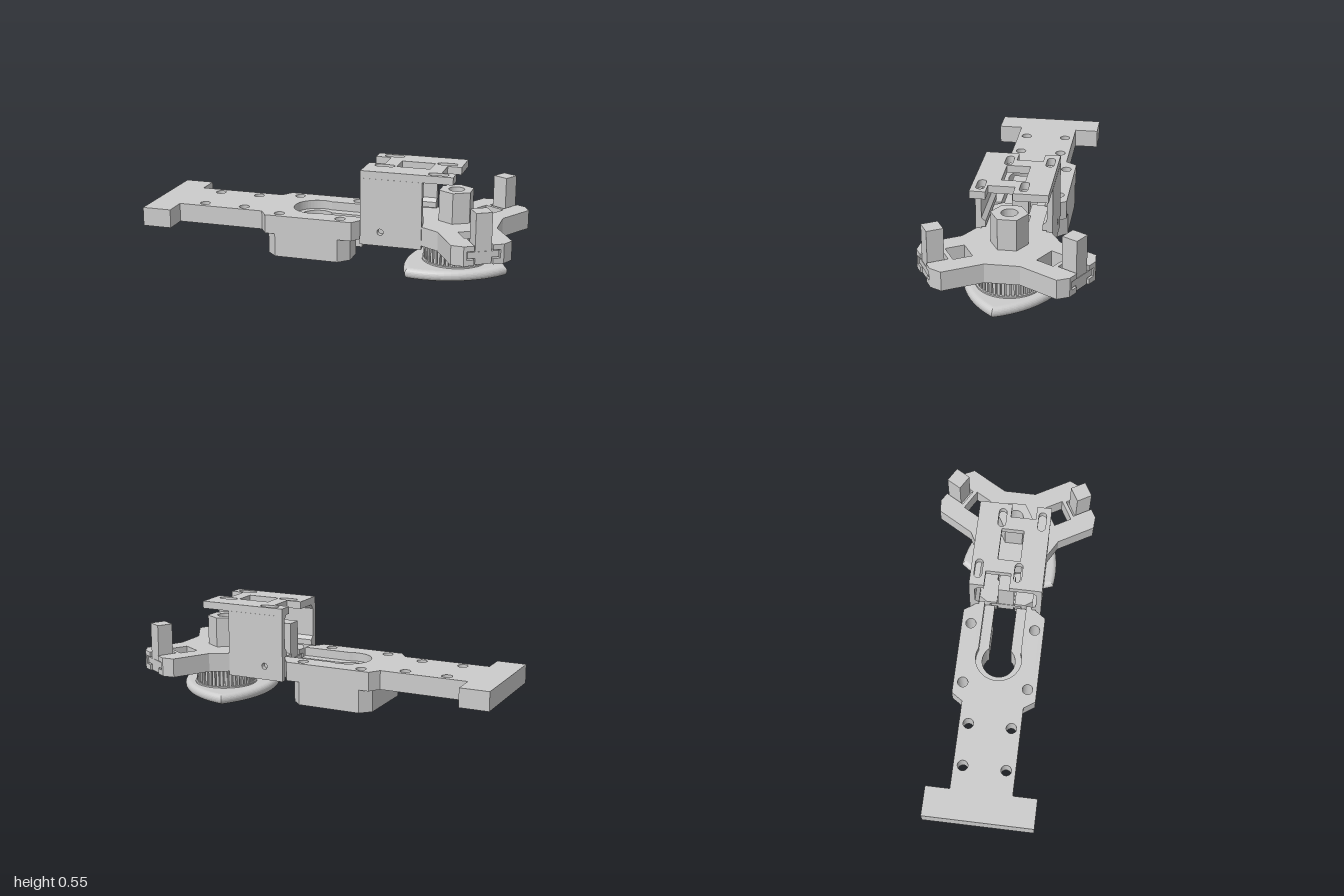
import * as THREE from 'three';

const HUB = 0.67; // x of the three-armed head
const material = new THREE.MeshStandardMaterial({ color: 0xcccccc, flatShading: true });
const smooth = new THREE.MeshStandardMaterial({ color: 0xcccccc });

const polygon = (pts) => new THREE.Shape(pts.map(([x, z]) => new THREE.Vector2(x, z)));

function addHole(shape, x, z, r) {
  shape.holes.push(new THREE.Path().absarc(x, z, r, 0, Math.PI * 2, true));
}

// Horizontal slab: shape drawn in (x, z), filling y0..y1
function slab(name, shape, y0, y1, options = {}) {
  const geo = new THREE.ExtrudeGeometry(shape, { depth: y1 - y0, bevelEnabled: false, curveSegments: 20, ...options });
  geo.rotateX(Math.PI / 2).translate(0, y1, 0);
  const mesh = new THREE.Mesh(geo, material);
  mesh.name = name;
  return mesh;
}

function box(name, x0, x1, y0, y1, z0, z1) {
  const mesh = new THREE.Mesh(new THREE.BoxGeometry(x1 - x0, y1 - y0, z1 - z0), material);
  mesh.position.set((x0 + x1) / 2, (y0 + y1) / 2, (z0 + z1) / 2);
  mesh.name = name;
  return mesh;
}

// Half outline (z > 0, from +x end to -x end) mirrored, with a keyhole open to +x
function keyholeShape(half, slot, radius) {
  const end = half[0][0], a = Math.asin(slot / radius), pts = [[end, slot], ...half];
  [...half].reverse().forEach(([x, z]) => pts.push([x, -z]));
  pts.push([end, -slot]);
  for (let i = 0; i <= 28; i++) {
    const t = Math.PI * 2 - a - (i / 28) * (Math.PI * 2 - 2 * a);
    pts.push([-0.1 + Math.cos(t) * radius, Math.sin(t) * radius]);
  }
  return polygon(pts);
}

// Long base plate with stepped keyhole and a block beneath
function createBase() {
  const g = new THREE.Group();
  g.name = 'base';
  const half = [[0.22, 0.165], [0.2, 0.165], [0.16, 0.225], [-0.32, 0.225], [-0.36, 0.165],
    [-0.84, 0.165], [-0.84, 0.295], [-1, 0.295]];
  const screws = [[-0.71, 0.115], [-0.48, 0.115], [-0.255, 0.175], [0.085, 0.175]];
  const layer = (name, outline, slot, r, y0, y1, holes) => {
    const shape = keyholeShape(outline, slot, r);
    for (const [x, z] of holes) for (const s of [-1, 1]) addHole(shape, x, z * s, 0.028);
    g.add(slab(name, shape, y0, y1));
  };
  layer('plateTop', half, 0.115, 0.125, 0.225, 0.272, screws);
  layer('plateBottom', half, 0.06, 0.09, 0.17, 0.225, screws);
  layer('lowerBlock', [[0.14, 0.17], [0.085, 0.225], [-0.265, 0.225], [-0.32, 0.17]],
    0.06, 0.09, 0.045, 0.17, screws.slice(2));
  return g;
}

// Three equal arms in one slab; slot is the half width of the channel at each tip
const ARM_ANGLES = [60, 180, 300].map(THREE.MathUtils.degToRad);

function headShape(slot) {
  const at = (a, r, p) => [HUB + r * Math.cos(a) - p * Math.sin(a), r * Math.sin(a) + p * Math.cos(a)];
  const arm = [[0.193, -0.16], [0.41, -0.16], [0.447, -0.105], [0.447, -slot], [0.335, -slot],
    [0.335, slot], [0.447, slot], [0.447, 0.105], [0.41, 0.16], [0.193, 0.16]];
  const shape = polygon(ARM_ANGLES.flatMap((a) => arm.map(([r, p]) => at(a, r, p))));
  const window = [[0.215, -0.06], [0.215, 0.06], [0.315, 0.06], [0.315, -0.06]];
  for (const a of ARM_ANGLES) shape.holes.push(polygon(window.map(([r, p]) => at(a, r, p))));
  addHole(shape, HUB, 0, 0.04);
  return shape;
}

function createHead() {
  const g = new THREE.Group();
  g.name = 'threeArmHead';
  g.add(slab('headBottom', headShape(0.049), 0.17, 0.2));
  g.add(slab('headMiddle', headShape(0.088), 0.2, 0.245));
  g.add(slab('headTop', headShape(0.049), 0.245, 0.272));

  // Hexagonal centre pillar
  const hex = polygon(Array.from({ length: 6 }, (_, i) => {
    const a = Math.PI / 2 + (i * Math.PI) / 3;
    return [HUB + 0.095 * Math.cos(a), 0.095 * Math.sin(a)];
  }));
  addHole(hex, HUB, 0, 0.042);
  g.add(slab('centrePillar', hex, 0.27, 0.437));

  // Sliding posts keyed into the arm tips
  for (const a of ARM_ANGLES) {
    const jaw = new THREE.Group();
    jaw.name = 'slidingPost';
    jaw.position.x = HUB;
    jaw.rotation.y = -a;
    jaw.add(box('post', 0.353, 0.439, 0.172, 0.437, -0.043, 0.043));
    jaw.add(box('postKey', 0.345, 0.441, 0.206, 0.239, -0.082, 0.082));
    g.add(jaw);
  }
  return g;
}

// Inverted U bracket over the rear arm
function createBracket() {
  const g = new THREE.Group();
  g.name = 'bracket';
  const top = polygon([[0.2, -0.195], [0.69, -0.195], [0.69, -0.02], [0.615, -0.02], [0.615, 0.115],
    [0.69, 0.115], [0.69, 0.195], [0.2, 0.195], [0.2, 0.02], [0.285, 0.02], [0.285, -0.115], [0.2, -0.115]]);
  top.holes.push(polygon([[0.36, -0.06], [0.36, 0.06], [0.54, 0.06], [0.54, -0.06]]));
  for (const [x, z] of [[0.295, -0.155], [0.295, 0.057], [0.605, -0.065], [0.605, 0.15]]) {
    const slot = new THREE.Path();
    slot.absarc(x - 0.033, z, 0.021, Math.PI / 2, Math.PI * 1.5, false);
    slot.absarc(x + 0.033, z, 0.021, -Math.PI / 2, Math.PI / 2, false);
    slot.closePath();
    top.holes.push(slot);
  }
  g.add(slab('bracketTop', top, 0.51, 0.55));

  for (const s of [-1, 1]) {
    // Side wall with a pin hole
    const wall = polygon([[0.2, 0.15], [0.53, 0.15], [0.53, 0.51], [0.2, 0.51]]);
    addHole(wall, 0.31, 0.225, 0.017);
    const geo = new THREE.ExtrudeGeometry(wall, { depth: 0.03, bevelEnabled: false });
    geo.translate(0, 0, s > 0 ? 0.166 : -0.196);
    const mesh = new THREE.Mesh(geo, material);
    mesh.name = 'bracketWall';
    g.add(mesh);
    // Chamfered strips along the inside of the wall
    for (const profile of [[[0.166, 0.485], [0.166, 0.51], [0.145, 0.51]],
      [[0.166, 0.28], [0.166, 0.33], [0.145, 0.31], [0.145, 0.28]]]) {
      const strip = new THREE.ExtrudeGeometry(polygon(profile.map(([z, y]) => [-z * s, y])),
        { depth: 0.33, bevelEnabled: false });
      strip.rotateY(Math.PI / 2).translate(0.2, 0, 0);
      const rib = new THREE.Mesh(strip, material);
      rib.name = 'innerRib';
      g.add(rib);
    }
  }
  return g;
}

// Toothed pulley on a rounded three-lobed knob
function createKnob() {
  const g = new THREE.Group();
  g.name = 'knob';
  const teeth = 44, pts = [];
  for (let i = 0; i < teeth; i++) {
    [[0, 0.166], [0.6, 0.166], [0.65, 0.153], [0.95, 0.153]].forEach(([f, r]) => {
      const a = ((i + f) / teeth) * Math.PI * 2;
      pts.push([HUB + r * Math.cos(a), r * Math.sin(a)]);
    });
  }
  const gear = polygon(pts);
  addHole(gear, HUB, 0, 0.04);
  g.add(slab('pulleyTeeth', gear, 0.064, 0.155));
  for (const [y0, y1] of [[0.05, 0.064], [0.155, 0.17]]) {
    const flange = new THREE.Shape().absarc(HUB, 0, 0.175, 0, Math.PI * 2, false);
    addHole(flange, HUB, 0, 0.04);
    g.add(slab('pulleyFlange', flange, y0, y1));
  }

  // Constant-width triangle with a rolled rim
  const width = 0.486, R = width / Math.sqrt(3), lobes = [];
  for (let k = 0; k < 3; k++) {
    const turn = THREE.MathUtils.degToRad(8 + 120 * k);
    const cx = 0.65 - R * Math.cos(turn), cz = -R * Math.sin(turn);
    void cx;
    // Each side is an arc about the opposite corner
    const ox = 0.65 + R * Math.cos(turn), oz = R * Math.sin(turn);
    for (let i = 0; i < 14; i++) {
      const a = turn + Math.PI - Math.PI / 6 + (i / 14) * (Math.PI / 3);
      lobes.push([ox + width * Math.cos(a), oz + width * Math.sin(a)]);
    }
  }
  const disc = polygon(lobes);
  addHole(disc, HUB, 0, 0.06);
  const knob = slab('knobDisc', disc, 0.027, 0.029,
    { bevelEnabled: true, bevelThickness: 0.027, bevelSize: 0.027, bevelSegments: 6 });
  knob.material = smooth;
  g.add(knob);
  return g;
}

export function createModel() {
  const model = new THREE.Group();
  model.name = 'clampTool';
  model.add(createBase(), createHead(), createBracket(), createKnob());
  return model;
}
